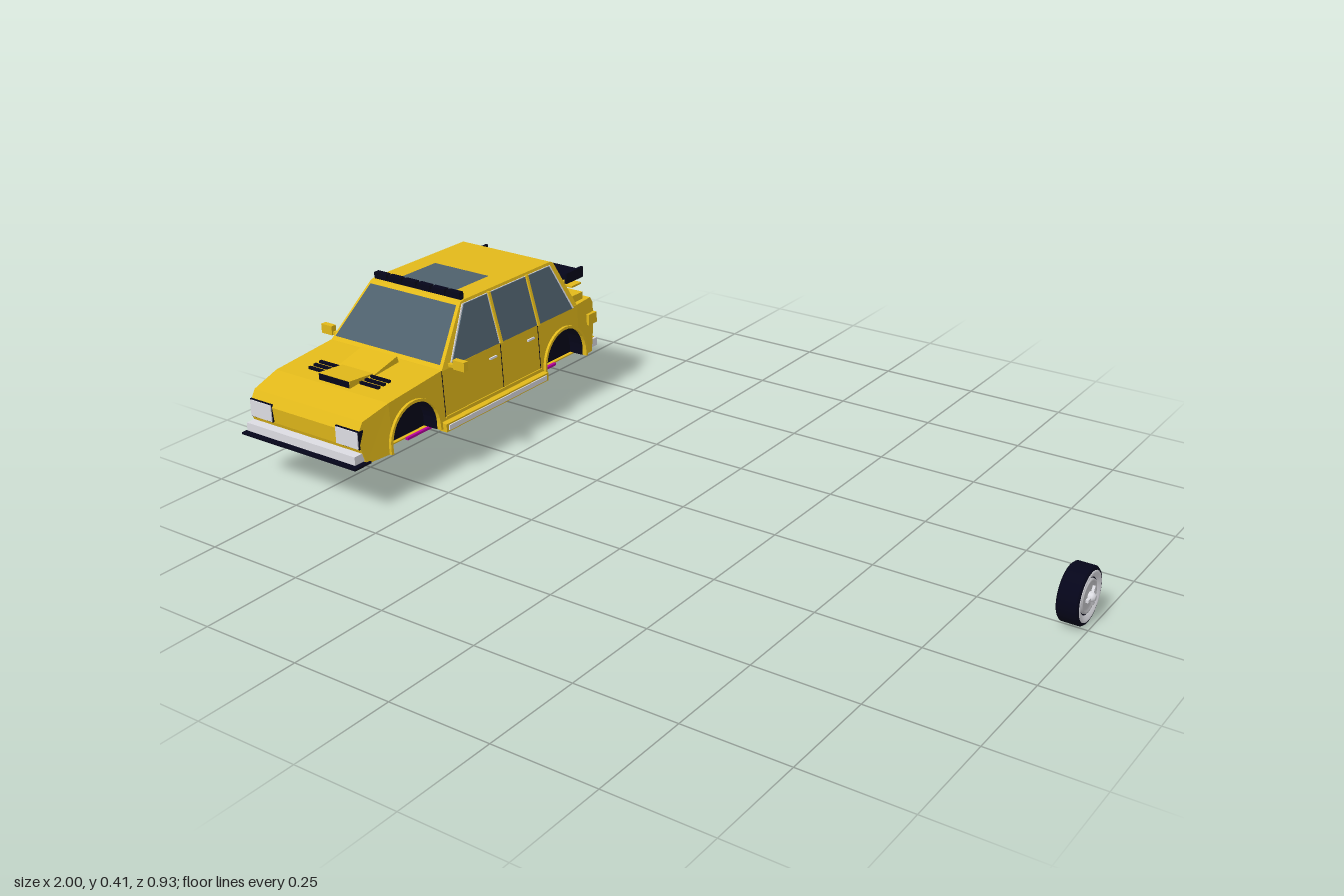
import * as THREE from 'three';

const mat = (name, color, side = THREE.FrontSide) => {
  const m = new THREE.MeshStandardMaterial({ color, side });
  m.name = name;
  return m;
};

export function createModel() {
  const yellow = mat('yellow paint', 0xe2b91a);
  const glass = mat('tinted glass', 0x4e606c, THREE.DoubleSide);
  const dark = mat('dark trim', 0x05051a, THREE.DoubleSide);
  const chrome = mat('chrome', 0xdcdce2);
  const grey = mat('rim grey', 0xc2c2c6);
  const red = mat('tail light red', 0xa80c0c);
  const magenta = mat('underbody magenta', 0xb800a0);

  const model = new THREE.Group();
  model.name = 'carAndWheel';
  const car = new THREE.Group();
  car.name = 'car';
  car.position.x = -0.768;
  model.add(car);

  const add = (name, geo, material, parent = car) => {
    const m = new THREE.Mesh(geo, material);
    m.name = name;
    parent.add(m);
    return m;
  };
  // box given by its x, y and z ranges
  const box = (name, material, x0, x1, y0, y1, z0, z1) => {
    const g = new THREE.BoxGeometry(Math.abs(x1 - x0), Math.abs(y1 - y0), Math.abs(z1 - z0));
    return add(name, g.translate((x0 + x1) / 2, (y0 + y1) / 2, (z0 + z1) / 2), material);
  };
  // side profile in [z, y] points, extruded along x from x0 to x1
  const profile = (pts, x0, x1) => {
    const s = new THREE.Shape(pts.map(([z, y]) => new THREE.Vector2(-z, y)));
    return new THREE.ExtrudeGeometry(s, { depth: x1 - x0, bevelEnabled: false })
      .rotateY(Math.PI / 2).translate(x0, 0, 0);
  };
  const bend = (geo, rule) => {
    const p = geo.attributes.position;
    for (let i = 0; i < p.count; i++) p.setX(i, rule(p.getX(i), p.getY(i), p.getZ(i)));
    geo.computeVertexNormals();
    return geo;
  };
  const cabinWidth = y => 0.18 - (y - 0.258) * 0.27;
  const bodyWidth = (y, z) => (0.187 - (y - 0.115) * 0.05)
    * (1 - Math.max(0, z - 0.34) * 0.6 - Math.max(0, -z - 0.4) * 0.5);
  // thin plate following the leaning side of the cabin or the body
  const sidePlate = (name, pts, t, material, s, width) =>
    add(name, bend(profile(pts, s > 0 ? 0 : -t, s > 0 ? t : 0), (x, y, z) => x + s * width(y, z)), material);
  // four-cornered sheet, mirrored about x = 0: half widths at bottom and top
  const sheet = (name, material, [w0, y0, z0], [w1, y1, z1]) => {
    const g = new THREE.BufferGeometry();
    g.setAttribute('position', new THREE.Float32BufferAttribute(
      [-w0, y0, z0, w0, y0, z0, w1, y1, z1, -w1, y1, z1], 3));
    g.setIndex([0, 1, 2, 0, 2, 3]);
    g.computeVertexNormals();
    return add(name, g, material);
  };
  // wheel arch outline from the back foot to the front foot
  const arch = (cz, r, n = 18) => {
    const pts = [[cz - r, 0.117]];
    for (let i = 0; i <= n; i++) {
      const a = Math.PI * (1 - i / n);
      pts.push([cz + r * Math.cos(a), 0.133 + r * Math.sin(a)]);
    }
    pts.push([cz + r, 0.117]);
    return pts;
  };
  const arches = [-0.312, 0.263];

  // lower body with wheel openings
  const outline = [
    ...arches.flatMap(z => arch(z, 0.082)),
    [0.42, 0.117], [0.432, 0.155], [0.436, 0.195], [0.42, 0.221], [0.34, 0.241], [0.154, 0.258],
    [-0.377, 0.262], [-0.437, 0.264], [-0.447, 0.248], [-0.447, 0.2], [-0.43, 0.117],
  ];
  add('body', bend(profile(outline, -1, 1), (x, y, z) => x * bodyWidth(y, z)), yellow);
  box('floor', yellow, -0.15, 0.15, 0.114, 0.117, -0.42, 0.42);
  for (const z of arches) {
    add('wheelWell', profile(arch(z, 0.0825), -0.14, 0.14), dark);
    for (const s of [-1, 1]) {
      const lining = [...arch(z, 0.0805), ...arch(z, 0.0825).reverse()];
      add('wheelWellLining', profile(lining, s > 0 ? 0.14 : -0.181, s > 0 ? 0.181 : -0.14), dark);
      const flare = [...arch(z, 0.082), ...arch(z, 0.089).reverse()];
      sidePlate('wheelArchFlare', flare, 0.007, yellow, s, bodyWidth);
    }
  }

  // cabin
  const cabin = [[0.154, 0.256], [0.035, 0.387], [0.02, 0.39], [-0.315, 0.39], [-0.325, 0.385], [-0.377, 0.26]];
  add('cabin', bend(profile(cabin, -1, 1), (x, y) => x * cabinWidth(y)), yellow);
  sheet('windscreen', glass, [0.17, 0.268, 0.147], [0.139, 0.381, 0.0435]);
  sheet('rearWindow', glass, [0.162, 0.276, -0.3725], [0.137, 0.378, -0.330]);
  sheet('sunroof', glass, [0.088, 0.3915, 0], [0.088, 0.3915, -0.14]);
  const windows = [
    [[0.119, 0.26], [0.028, 0.382], [-0.057, 0.382], [-0.057, 0.26]],
    [[-0.071, 0.26], [-0.071, 0.382], [-0.206, 0.382], [-0.206, 0.26]],
    [[-0.219, 0.26], [-0.219, 0.382], [-0.303, 0.382], [-0.352, 0.26]],
  ];
  const strip = (z, w, y0, y1) => [[z - w, y0], [z + w, y0], [z + w, y1], [z - w, y1]];

  for (const s of [-1, 1]) {
    // side glazing
    const trim = [[0.124, 0.259], [0.0325, 0.383], [-0.309, 0.383], [-0.36, 0.259]];
    sidePlate('windowTrim', trim, 0.002, chrome, s, cabinWidth);
    windows.forEach(w => sidePlate('sideWindow', w, 0.004, glass, s, cabinWidth));
    for (const z of [-0.0655, -0.2125]) sidePlate('doorPillar', strip(z, 0.004, 0.258, 0.385), 0.006, yellow, s, cabinWidth);

    // doors
    for (const z of [0.154, -0.064, -0.211]) sidePlate('doorSeam', strip(z, 0.0007, 0.14, 0.256), 0.001, dark, s, bodyWidth);
    sidePlate('doorMoulding', strip(-0.03, 0.184, 0.137, 0.1415), 0.003, yellow, s, bodyWidth);
    for (const z of [-0.032, -0.18]) sidePlate('doorHandle', strip(z, 0.013, 0.228, 0.233), 0.004, chrome, s, bodyWidth);

    // sills, mirrors, rear corner boxes and underbody line
    box('sill', yellow, s * 0.18, s * 0.203, 0.11, 0.131, -0.22, 0.172);
    box('sillStrip', chrome, s * 0.2, s * 0.206, 0.114, 0.127, -0.211, 0.164);
    box('mirrorArm', yellow, s * 0.175, s * 0.2, 0.259, 0.267, 0.118, 0.128);
    box('mirror', yellow, s * 0.197, s * 0.232, 0.258, 0.282, 0.117, 0.132);
    box('mirrorGlass', glass, s * 0.2, s * 0.229, 0.261, 0.279, 0.116, 0.118);
    box('rearCornerBox', yellow, s * 0.165, s * 0.188, 0.194, 0.223, -0.449, -0.415);
    box('underbodyLine', magenta, s * 0.15, s * 0.158, 0.111, 0.117, -0.31, 0.26);

    // headlights
    box('headlightFrame', dark, s * 0.102, s * 0.174, 0.157, 0.202, 0.42, 0.4362);
    box('headlight', chrome, s * 0.104, s * 0.172, 0.159, 0.2, 0.425, 0.439);
    // bonnet louvres
    for (let i = 0; i < 3; i++) {
      const z = 0.256 + i * 0.018, y = 0.2498 - i * 0.0016;
      box('bonnetLouvre', dark, s * 0.053, s * 0.113, y - 0.004, y + 0.004, z, z + 0.008);
    }
    box('rearBumperEnd', chrome, s * 0.125, s * 0.177, 0.122, 0.144, -0.462, -0.42);
    // spoiler posts
    box('spoilerPost', dark, s * 0.1, s * 0.112, 0.26, 0.325, -0.41, -0.393);
  }

  // bonnet scoop
  add('scoopNose', profile([[0.328, 0.235], [0.328, 0.26], [0.24, 0.253], [0.24, 0.238]], -0.05, 0.05), yellow);
  box('scoopMouth', dark, -0.048, 0.048, 0.243, 0.2585, 0.326, 0.33);
  add('scoopRamp', profile([[0.28, 0.246], [0.172, 0.273], [0.166, 0.25]], -0.057, 0.057), yellow);

  // front end
  box('frontBumper', chrome, -0.174, 0.174, 0.125, 0.146, 0.415, 0.454);
  box('frontSplitter', dark, -0.183, 0.183, 0.117, 0.122, 0.41, 0.464);

  // rear end
  box('tailLightBand', red, -0.166, 0.166, 0.222, 0.252, -0.453, -0.44);
  box('rearBumper', yellow, -0.17, 0.17, 0.118, 0.146, -0.46, -0.42);
  for (let i = -3; i <= 3; i++) box('rearSlot', dark, i * 0.034 - 0.014, i * 0.034 + 0.014, 0.117, 0.14, -0.461, -0.435);

  // rear spoiler
  box('spoilerBase', yellow, -0.165, 0.165, 0.262, 0.282, -0.42, -0.378);
  box('spoilerBlade', yellow, -0.16, 0.16, 0.302, 0.307, -0.422, -0.382);
  box('spoilerWing', dark, -0.16, 0.16, 0.33, 0.341, -0.425, -0.36);
  for (const s of [-1, 1]) box('spoilerEndPlate', dark, s * 0.156, s * 0.163, 0.321, 0.349, -0.427, -0.357);

  // roof lamps
  box('lampBar', dark, -0.14, 0.14, 0.388, 0.397, 0.016, 0.026);
  for (let i = 0; i < 6; i++) {
    const x = -0.1175 + i * 0.047;
    box('roofLamp', dark, x - 0.02, x + 0.02, 0.393, 0.407, 0.014, 0.03);
  }

  // loose wheel, hub facing +x
  const wheel = new THREE.Group();
  wheel.name = 'wheel';
  wheel.position.set(0.965, 0.065, -0.024);
  model.add(wheel);
  const lathe = (name, pts, material) => add(name,
    new THREE.LatheGeometry(pts.map(p => new THREE.Vector2(...p)), 40).rotateZ(-Math.PI / 2), material, wheel);
  lathe('tyre', [[0, -0.022], [0.045, -0.022], [0.047, -0.026], [0.06, -0.026], [0.065, -0.021],
    [0.065, 0.018], [0.061, 0.023], [0.054, 0.023], [0.04, 0.018], [0, 0.016]], dark);
  lathe('rimRing', [[0.057, 0.022], [0.056, 0.0245], [0.051, 0.0245], [0.0415, 0.0195]], chrome);
  lathe('rimDisc', [[0.039, 0.017], [0.038, 0.022], [0.033, 0.022], [0.029, 0.019], [0.012, 0.021], [0, 0.021]], grey);
  lathe('hub', [[0.011, 0.019], [0.01, 0.029], [0.006, 0.035], [0, 0.035]], chrome);
  for (let i = 0; i < 3; i++) {
    const ear = add('hubEar', new THREE.BoxGeometry(0.006, 0.018, 0.007).translate(0.026, 0.015, 0), chrome, wheel);
    ear.rotation.x = Math.PI / 2 + i * Math.PI * 2 / 3;
  }
  return model;
}
